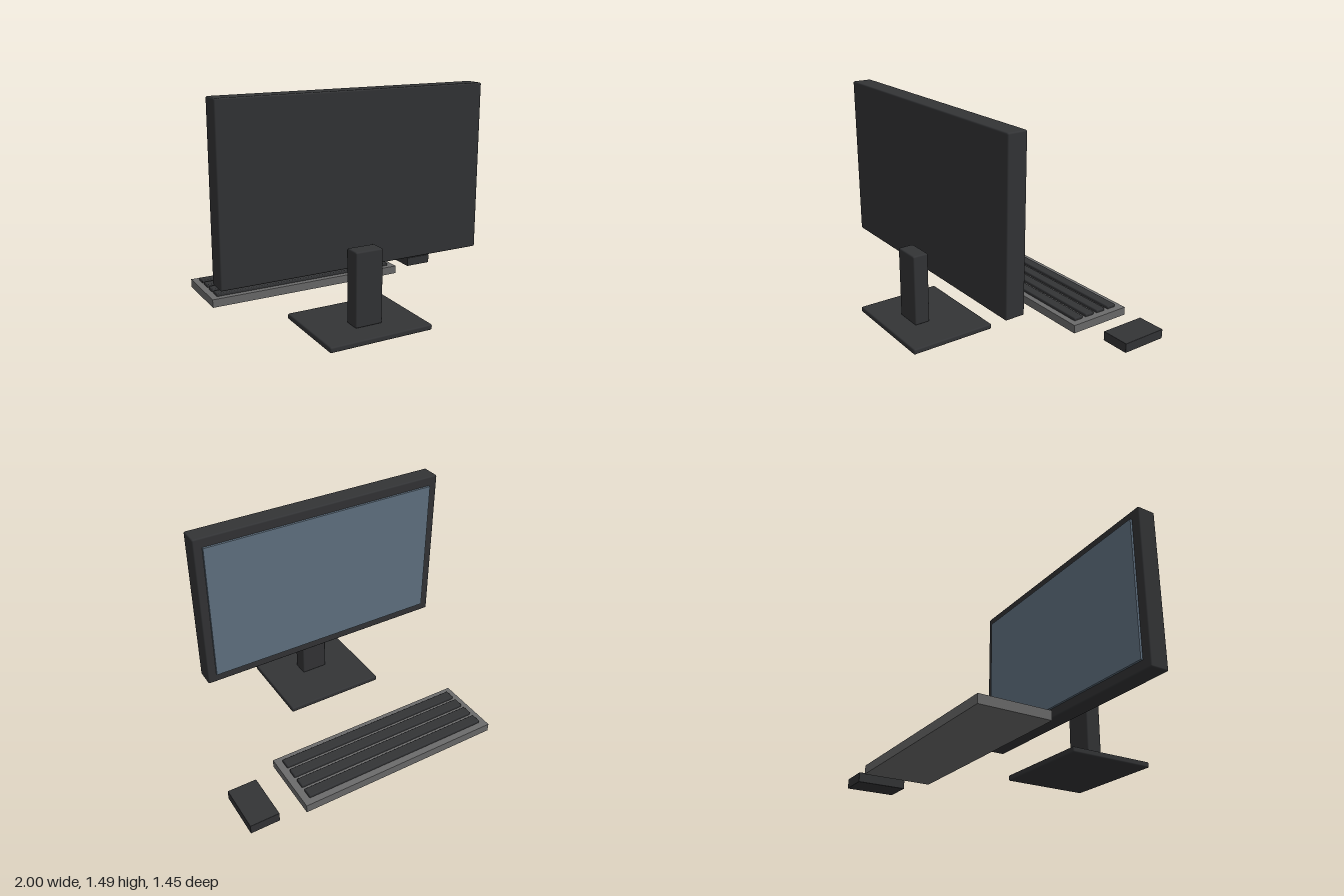
import * as THREE from 'three';
import { RoundedBoxGeometry } from 'three/addons/geometries/RoundedBoxGeometry.js';

const dark = new THREE.MeshStandardMaterial({ color: 0x333436 });
const grey = new THREE.MeshStandardMaterial({ color: 0x6b6b6b });
const blue = new THREE.MeshStandardMaterial({ color: 0x627383 });

// Box given by its extents on each axis, with an optional edge radius
function block(name, material, [x0, x1], [y0, y1], [z0, z1], radius = 0) {
  const size = [x1 - x0, y1 - y0, z1 - z0];
  const geometry = radius
    ? new RoundedBoxGeometry(...size, 2, radius)
    : new THREE.BoxGeometry(...size);
  const mesh = new THREE.Mesh(geometry, material);
  mesh.name = name;
  mesh.position.set((x0 + x1) / 2, (y0 + y1) / 2, (z0 + z1) / 2);
  return mesh;
}

export function createModel() {
  const model = new THREE.Group();
  model.name = 'desktopComputer';

  // Monitor: housing, screen facing the keyboard, neck and foot
  const monitor = new THREE.Group();
  monitor.name = 'monitor';
  monitor.add(
    block('monitorHousing', dark, [-1, 0.81], [0.385, 1.487], [0.293, 0.427], 0.01),
    block('screen', blue, [-0.935, 0.75], [0.45, 1.422], [0.278, 0.31]),
    block('standNeck', dark, [-0.19, 0.002], [0.04, 0.53], [0.45, 0.56], 0.01),
    block('standBase', dark, [-0.453, 0.267], [0.003, 0.04], [0.135, 0.725], 0.01)
  );

  // Keyboard: tray with four raised key rows
  const keyboard = new THREE.Group();
  keyboard.name = 'keyboard';
  keyboard.add(block('keyboardBody', grey, [-0.815, 0.63], [0.003, 0.06], [-0.725, -0.27]));
  for (let i = 0; i < 4; i++) {
    const z = -0.643 + i * 0.0985;
    keyboard.add(block('keyRow' + (i + 1), dark, [-0.77, 0.583], [0.055, 0.08], [z - 0.036, z + 0.036], 0.008));
  }

  model.add(monitor, keyboard, block('mouse', dark, [0.802, 1], [0, 0.065], [-0.695, -0.368], 0.003));
  return model;
}
